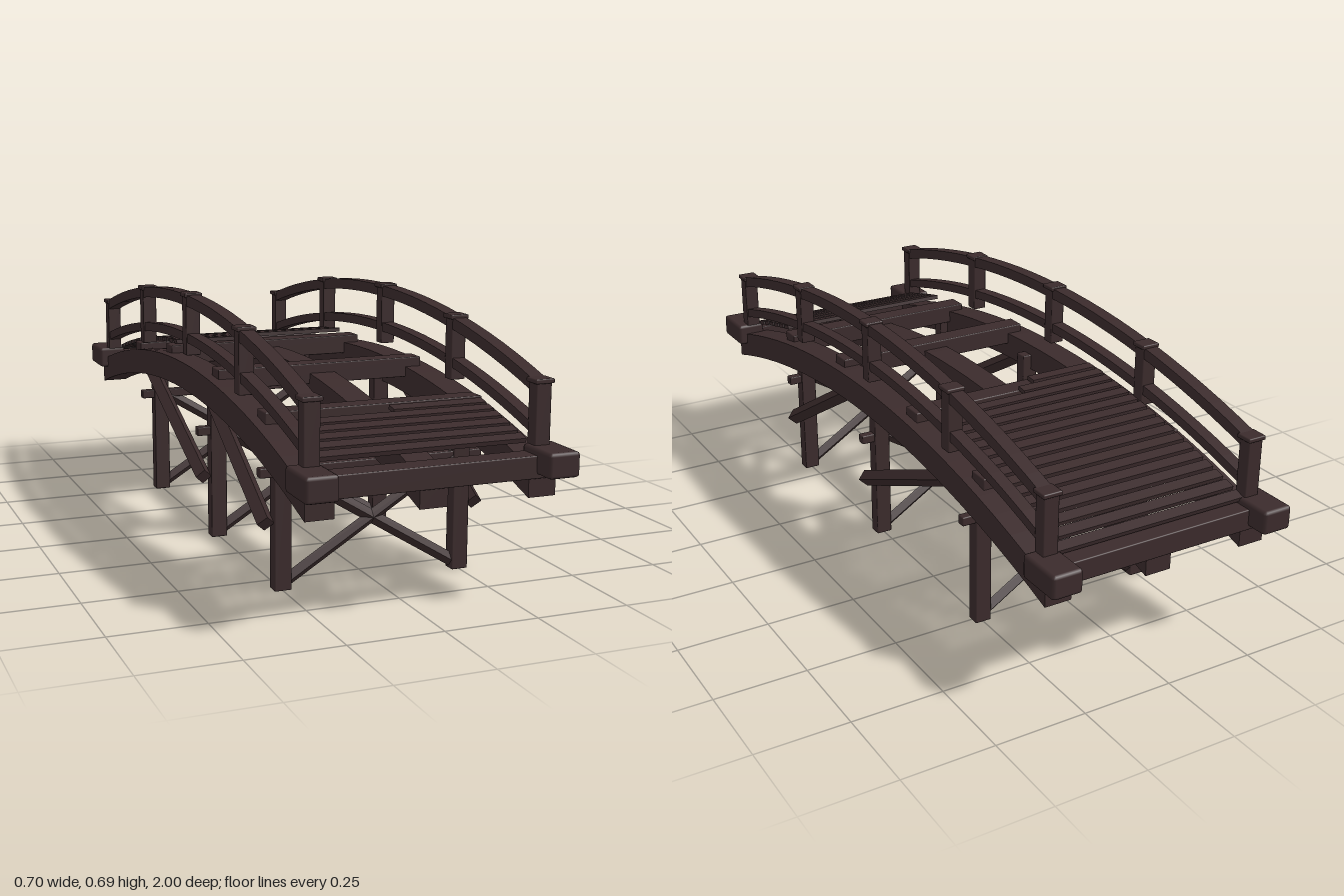
import * as THREE from 'three';
import { RoundedBoxGeometry } from 'three/addons/geometries/RoundedBoxGeometry.js';

const R = 3.16; // radius shared by every arched part
const drop = (z) => Math.sqrt(R * R - z * z) - R;

export function createModel() {
  const bridge = new THREE.Group();
  bridge.name = 'archedFootbridge';
  const wood = new THREE.MeshStandardMaterial({ color: 0x3b2b2c });
  wood.name = 'darkWood';

  function add(name, geometry, x = 0, y = 0, z = 0) {
    const mesh = new THREE.Mesh(geometry, wood);
    mesh.name = name;
    mesh.position.set(x, y, z);
    bridge.add(mesh);
    return mesh;
  }

  // Timber given by its lower and upper corners, with eased edges
  function timber(name, x0, x1, y0, y1, z0, z1, bevel = 0.003) {
    return add(name, new RoundedBoxGeometry(x1 - x0, y1 - y0, z1 - z0, 1, bevel),
      (x0 + x1) / 2, (y0 + y1) / 2, (z0 + z1) / 2);
  }

  // Arched timber running along z, with its crown between yBottom and yTop
  function arch(name, x, width, yBottom, yTop, half) {
    const points = [];
    const n = 24;
    for (let i = 0; i <= n; i++) {
      const z = -half + (2 * half * i) / n;
      points.push(new THREE.Vector2(z, yBottom + drop(z)));
    }
    for (let i = n; i >= 0; i--) {
      const z = -half + (2 * half * i) / n;
      points.push(new THREE.Vector2(z, yTop + drop(z)));
    }
    const geometry = new THREE.ExtrudeGeometry(new THREE.Shape(points), { depth: width, bevelEnabled: false });
    geometry.translate(0, 0, -width / 2);
    geometry.rotateY(-Math.PI / 2);
    return add(name, geometry, x);
  }

  // Square bar between two points, turned on edge
  function diagonal(name, from, to, side) {
    const a = new THREE.Vector3(...from);
    const b = new THREE.Vector3(...to);
    const geometry = new THREE.BoxGeometry(side, side, a.distanceTo(b));
    geometry.rotateZ(Math.PI / 4);
    const mesh = add(name, geometry);
    mesh.position.copy(a).add(b).multiplyScalar(0.5);
    mesh.lookAt(b);
    return mesh;
  }

  // Three arched stringers
  for (const x of [-0.29, 0, 0.29]) arch('stringer', x, 0.074, 0.42, 0.495, 0.93);

  // Handrails, posts and caps on both sides
  for (const side of [-1, 1]) {
    const x = side * 0.3;
    arch('upperRail', x, 0.038, 0.657, 0.688, 0.9);
    arch('lowerRail', x, 0.034, 0.553, 0.579, 0.88);
    for (const z of [-0.89, -0.447, 0, 0.447, 0.89]) {
      const top = 0.693 + drop(z);
      const bottom = Math.abs(z) > 0.8 ? 0.385 : 0.517 + drop(z);
      timber('railPost', x - 0.021, x + 0.021, bottom, top - 0.006, z - 0.019, z + 0.019);
      timber('postCap', x - 0.026, x + 0.026, top - 0.012, top, z - 0.024, z + 0.024);
    }
    // Corner blocks at both ends
    for (const end of [-1, 1]) {
      const c = end * 0.934;
      timber('cornerBlock', side * 0.31 - 0.042, side * 0.31 + 0.042, 0.338, 0.402, c - 0.066, c + 0.066, 0.009);
    }
  }

  // Cross beams resting on the stringers
  for (const z of [-0.575, -0.228, 0.21, 0.572]) {
    const top = 0.519 + drop(z);
    timber('crossBeam', -0.3, 0.3, top - 0.055, top, z - 0.03, z + 0.03);
  }
  for (const end of [-1, 1]) {
    const c = end * 0.908;
    timber('endBeam', -0.315, 0.315, 0.328, 0.385, c - 0.032, c + 0.032);
  }

  // Deck planks, tilted to follow the arch, with some missing or broken
  function plank(z, x0 = -0.28, x1 = 0.28) {
    const mesh = add('deckPlank', new THREE.BoxGeometry(x1 - x0, 0.012, 0.031),
      (x0 + x1) / 2, 0.527 + drop(z), z);
    mesh.rotation.x = Math.asin(z / R);
  }
  for (let i = 0; i < 15; i++) plank(-0.312 - i * 0.041);
  for (let i = 0; i < 5; i++) plank(0.687 + i * 0.041);
  plank(-0.271, -0.28, -0.018);
  plank(-0.228, -0.28, -0.075);
  plank(0.646, 0.02, 0.28);

  // Trestles with legs, a tie bar and crossed braces
  for (const z of [-0.506, 0.067, 0.576]) {
    for (const side of [-1, 1]) {
      const x = side * 0.25;
      timber('trestleLeg', x - 0.023, x + 0.023, 0, 0.465 + drop(z), z - 0.019, z + 0.019);
      diagonal('crossBrace', [-side * 0.235, 0.022, z], [side * 0.235, 0.312, z], 0.024);
    }
    timber('tieBar', -0.31, 0.31, 0.297, 0.322, z - 0.013, z + 0.013);
  }

  // Slanted struts outside the legs
  for (const side of [-1, 1]) {
    const x = side * 0.293;
    diagonal('strut', [x, 0.178, 0.584], [x, 0.45, 0.115], 0.033);
    diagonal('strut', [x, 0.178, 0.076], [x, 0.412, -0.47], 0.033);
  }
  return bridge;
}
